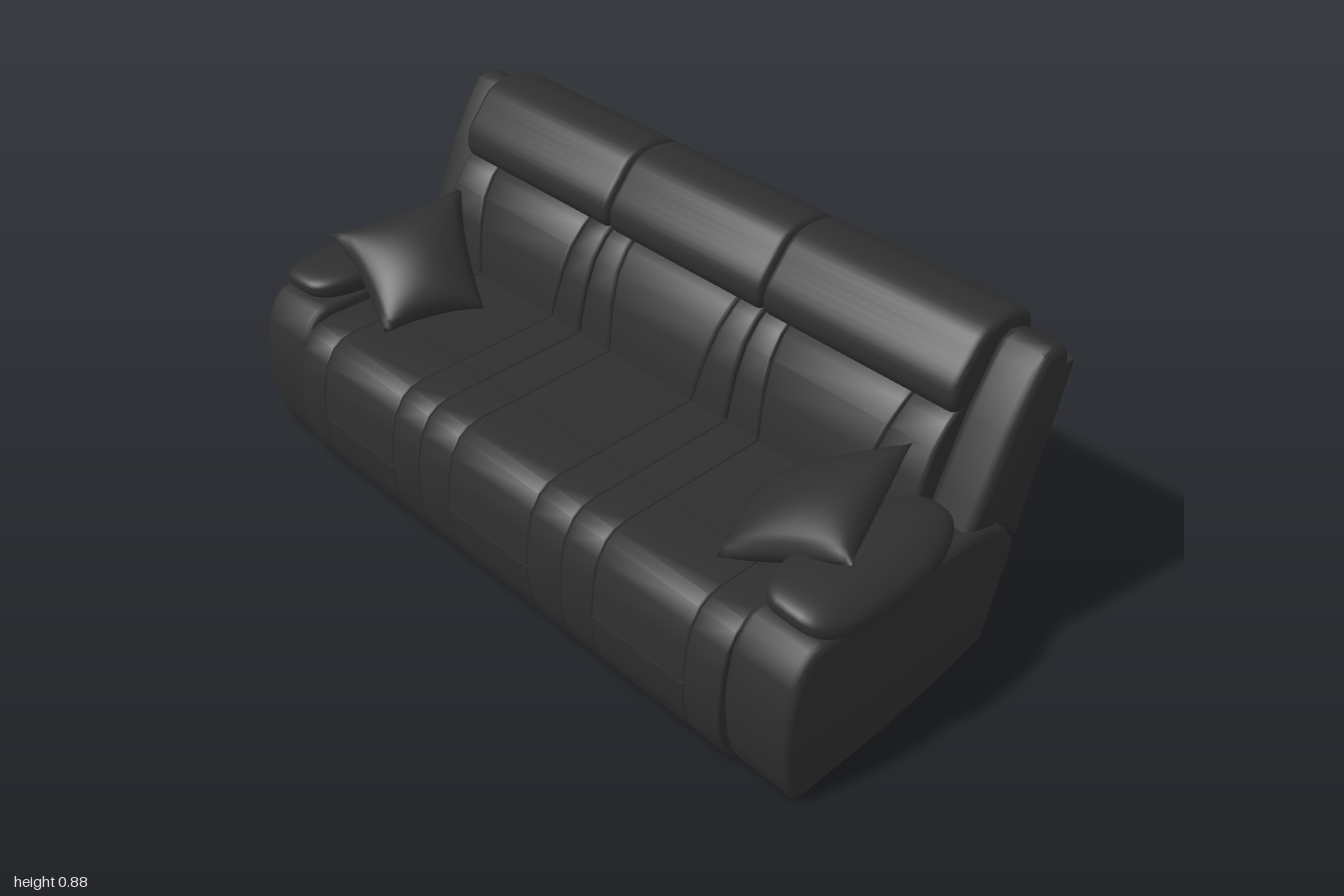
import * as THREE from 'three';
import { toCreasedNormals, mergeVertices } from 'three/addons/utils/BufferGeometryUtils.js';

const leather = new THREE.MeshStandardMaterial({ color: 0x2e2e2e });
leather.name = 'charcoal leather';

export function createModel() {
  const group = new THREE.Group();

  function add(name, geometry) {
    const mesh = new THREE.Mesh(geometry, leather);
    mesh.name = name;
    group.add(mesh);
  }

  // Closed smooth outline through [z, y] points
  function rounded(points, n) {
    const curve = new THREE.CatmullRomCurve3(
      points.map(([z, y]) => new THREE.Vector3(z, y, 0)), true, 'centripetal');
    return curve.getPoints(n).slice(0, n).map(p => [p.x, p.y]);
  }

  // Padded slab: a [z, y] outline spanning xa..xb with soft ends
  function slab(points, xa, xb, bevel) {
    const shape = new THREE.Shape(points.map(([z, y]) => new THREE.Vector2(z, y)));
    const depth = xb - xa - 2 * bevel;
    const geo = new THREE.ExtrudeGeometry(shape, {
      depth, bevelSize: bevel, bevelThickness: bevel, bevelOffset: -bevel, bevelSegments: 4,
    });
    geo.translate(0, 0, -depth / 2).rotateY(-Math.PI / 2).translate((xa + xb) / 2, 0, 0);
    return toCreasedNormals(geo, 0.65);
  }

  // Slab whose sides lean: [xa, xb] at y = 0.42 and at y = 0.69
  function leaningSlab(points, low, high, bevel) {
    const xa = (low[0] + high[0]) / 2, xb = (low[1] + high[1]) / 2;
    const geo = slab(points, xa, xb, bevel);
    const p = geo.attributes.position;
    for (let i = 0; i < p.count; i++) {
      const k = THREE.MathUtils.clamp((p.getY(i) - 0.42) / 0.27, 0, 1);
      const t = (p.getX(i) - xa) / (xb - xa);
      const a = THREE.MathUtils.lerp(low[0], high[0], k);
      const b = THREE.MathUtils.lerp(low[1], high[1], k);
      p.setX(i, a + (b - a) * t);
    }
    return geo;
  }

  function mirrored(geo) {
    const g = geo.clone().scale(-1, 1, 1);
    const ix = g.index.array;
    for (let i = 0; i < ix.length; i += 3) [ix[i], ix[i + 1]] = [ix[i + 1], ix[i]];
    g.computeVertexNormals();
    return g;
  }

  function weld(geo) {
    geo.deleteAttribute('uv');
    geo.deleteAttribute('normal');
    const g = mergeVertices(geo, 1e-5);
    g.computeVertexNormals();
    return g;
  }

  // Outlines in [z, y]
  const armSide = [[0.40, 0.005], [0.10, 0.005], [-0.14, 0.03], [-0.265, 0.055], [-0.338, 0.315],
    [-0.335, 0.335], [-0.30, 0.383], [-0.25, 0.42], [-0.14, 0.445], [0.10, 0.452], [0.35, 0.455],
    [0.385, 0.447], [0.41, 0.425], [0.437, 0.37], [0.451, 0.29], [0.453, 0.2], [0.44, 0.1], [0.425, 0.05]];
  const wing = [[-0.14, 0.455], [-0.24, 0.42], [-0.34, 0.60], [-0.435, 0.78], [-0.433, 0.82], [-0.41, 0.845],
    [-0.375, 0.855], [-0.34, 0.845], [-0.315, 0.815], [-0.24, 0.69], [-0.17, 0.53]];
  const shell = [[-0.345, 0.335], [-0.36, 0.41], [-0.44, 0.68], [-0.468, 0.785], [-0.42, 0.785],
    [-0.24, 0.435], [-0.30, 0.396]];
  const base = [[0.40, 0.012], [0.10, 0.012], [-0.14, 0.035], [-0.25, 0.06], [-0.32, 0.315], [-0.30, 0.37],
    [-0.24, 0.41], [0.36, 0.412], [0.42, 0.385], [0.448, 0.31], [0.454, 0.2], [0.436, 0.08]];
  const seatTop = [[0.229, 0.424], [-0.23, 0.42], [-0.23, 0.37], [0.229, 0.37]];
  const kneeInner = [[0.38, 0.33], [0.231, 0.37]];
  const kneeOuter = [[0.231, 0.424], [0.35, 0.427], [0.39, 0.42], [0.42, 0.402], [0.445, 0.36], [0.46, 0.30],
    [0.468, 0.205]];
  const skirtOuter = [[0.468, 0.2], [0.463, 0.13], [0.448, 0.07], [0.43, 0.03], [0.412, 0.003]];
  const footPanel = [...kneeOuter, [0.40, 0.205], ...kneeInner];
  const skirt = [...skirtOuter, [0.37, 0.013], [0.40, 0.2]];
  const frontBolster = [...kneeOuter, ...skirtOuter, [0.37, 0.013], [0.40, 0.2], ...kneeInner];
  const backPad = [[-0.085, 0.415], [-0.095, 0.47], [-0.115, 0.55], [-0.145, 0.625], [-0.185, 0.675],
    [-0.23, 0.71], [-0.38, 0.73], [-0.25, 0.44]];
  const headrest = rounded([[-0.222, 0.683], [-0.195, 0.71], [-0.197, 0.765], [-0.24, 0.825], [-0.285, 0.872],
    [-0.36, 0.888], [-0.44, 0.866], [-0.47, 0.835], [-0.465, 0.785], [-0.38, 0.71], [-0.30, 0.69]], 44);

  // Three seats: [section edges], [seat panel edges], [back panel top edges]
  const seats = [
    [[-0.79, -0.27], [-0.68, -0.38], [-0.73, -0.35], [-0.85, -0.272]],
    [[-0.27, 0.27], [-0.15, 0.15], [-0.19, 0.19], [-0.268, 0.268]],
    [[0.27, 0.79], [0.38, 0.68], [0.35, 0.73], [0.272, 0.85]],
  ];
  for (const [[x0, x1], [p0, p1], [t0, t1], [h0, h1]] of seats) {
    add('seatBase', slab(base, x0, x1, 0.006));
    for (const [a, b] of [[x0, p0], [p0, p1], [p1, x1]]) add('seatPad', slab(seatTop, a, b, 0.006));
    add('footrestPanel', slab(footPanel, p0, p1, 0.006));
    add('frontSkirt', slab(skirt, p0, p1, 0.003));
    add('frontBolster', slab(frontBolster, x0, p0, 0.006));
    add('frontBolster', slab(frontBolster, p1, x1, 0.006));
    add('backPanel', leaningSlab(backPad, [p0, p1], [t0, t1], 0.012));
    add('backBolster', leaningSlab(backPad, [h0, p0], [h0, t0], 0.012));
    add('backBolster', leaningSlab(backPad, [p1, h1], [t1, h1], 0.012));
    add('headrest', slab(headrest, h0, h1, 0.02));
  }

  // Rear shell, arm sides and back wings
  add('backShell', slab(shell, -0.97, 0.97, 0.004));
  for (const s of [-1, 1]) {
    const span = (a, b) => (s > 0 ? [a, b] : [-b, -a]);
    add('armSide', slab(armSide, ...span(0.785, 0.978), 0.022));
    add('backWing', slab(wing, ...span(0.845, 0.978), 0.025));
  }

  // Armrest cushion: a squared-off ellipsoid that droops outward and thins toward its ends
  const arm = new THREE.SphereGeometry(1, 40, 28);
  const ap = arm.attributes.position;
  const square = (v, e) => Math.sign(v) * Math.abs(v) ** e;
  for (let i = 0; i < ap.count; i++) {
    const x = square(ap.getX(i), 0.65), y = square(ap.getY(i), 0.7), z = square(ap.getZ(i), 0.55);
    const width = 0.115 - 0.025 * THREE.MathUtils.smoothstep(-z, 0.1, 1);
    const droop = 0.03 * Math.max(0, x) ** 2;
    ap.setXYZ(i, 0.885 + x * width, 0.488 + y * 0.043 - droop + 0.004 * z, 0.12 + z * 0.26);
  }
  const armrest = weld(arm);
  add('armrest', armrest);
  add('armrest', mirrored(armrest));

  // Throw pillow spanned between four corners, leaning on the armrest
  const [A, B, C, D] = [[0.80, 0.63, -0.13], [0.51, 0.44, 0.04], [0.61, 0.43, 0.30], [0.93, 0.57, 0.23]]
    .map(c => new THREE.Vector3(...c));
  const up = C.clone().sub(B).cross(A.clone().sub(B)).normalize();
  const pillowGeo = new THREE.BoxGeometry(2, 2, 2, 24, 24, 1);
  const pp = pillowGeo.attributes.position;
  for (let i = 0; i < pp.count; i++) {
    const u0 = pp.getX(i), v0 = pp.getY(i);
    const u = u0 * (1 - 0.09 * (1 - v0 * v0)), v = v0 * (1 - 0.09 * (1 - u0 * u0));
    const h = 0.075 * Math.max(0, (1 - u0 * u0) * (1 - v0 * v0)) ** 0.5 * Math.sign(pp.getZ(i));
    const low = B.clone().lerp(C, (u + 1) / 2);
    const high = A.clone().lerp(D, (u + 1) / 2);
    const pos = low.lerp(high, (v + 1) / 2).addScaledVector(up, h);
    pp.setXYZ(i, pos.x, pos.y, pos.z);
  }
  const pillow = weld(pillowGeo);
  add('throwPillow', pillow);
  add('throwPillow', mirrored(pillow));

  return group;
}
